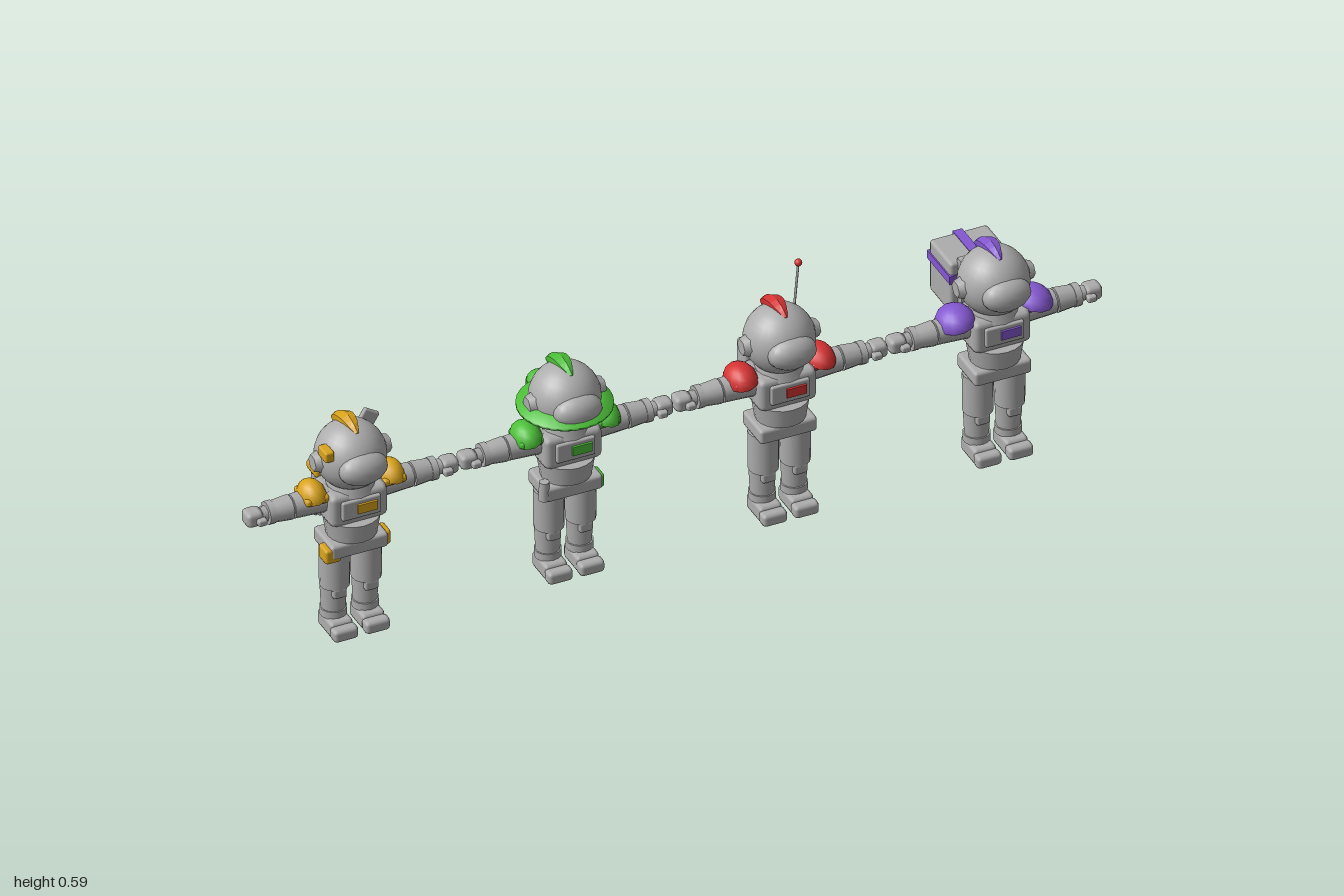
import * as THREE from 'three';
import { RoundedBoxGeometry } from 'three/addons/geometries/RoundedBoxGeometry.js';

const mat = (name, color) => {
  const m = new THREE.MeshStandardMaterial({ color });
  m.name = name;
  return m;
};

const Z = 0.037; // body axis
const HEAD_Y = 0.436;

function add(group, name, geometry, material, x = 0, y = 0, z = 0) {
  const m = new THREE.Mesh(geometry, material);
  m.name = name;
  m.position.set(x, y, z);
  group.add(m);
  return m;
}
const box = (w, h, d) => new THREE.BoxGeometry(w, h, d);
const soft = (w, h, d, r = 0.007) => new RoundedBoxGeometry(w, h, d, 1, r);
const cyl = (rt, rb, h, n = 16) => new THREE.CylinderGeometry(rt, rb, h, n);
const ball = (r, w = 20, h = 14) => new THREE.SphereGeometry(r, w, h);

// Rod between two points
function rod(group, name, a, b, r, material) {
  const p = new THREE.Vector3(...a), q = new THREE.Vector3(...b);
  const d = q.clone().sub(p);
  const m = add(group, name, cyl(r, r, d.length(), 8), material);
  m.position.copy(p).addScaledVector(d, 0.5);
  m.quaternion.setFromUnitVectors(new THREE.Vector3(0, 1, 0), d.normalize());
}

// Ridged, tapering fin that follows the top of the helmet
function crestGeometry() {
  const pos = [], rows = [], n = 8;
  for (let i = 0; i <= n; i++) {
    const t = i / n, a = 0.45 - t * 1.54;
    const w = 0.002 + 0.016 * Math.sin(Math.PI * (0.04 + t * 0.88));
    const at = (x, r) => [x, Math.cos(a) * r, Math.sin(a) * r];
    const rise = 0.082 + 0.008 * Math.min(1, t * 2.5) + 0.007 * t * t;
    rows.push([at(-w, 0.072), at(-w, rise - 0.005), at(0, rise), at(w, rise - 0.005), at(w, 0.072)]);
  }
  for (let i = 0; i < n; i++) {
    for (let j = 0; j < 4; j++) {
      const a = rows[i][j], b = rows[i][j + 1], c = rows[i + 1][j + 1], d = rows[i + 1][j];
      pos.push(...a, ...b, ...c, ...a, ...c, ...d);
    }
  }
  for (const [r, s] of [[rows[0], 1], [rows[n], -1]]) {
    for (let j = 1; j < 4; j++) {
      pos.push(...r[0], ...(s > 0 ? r[j + 1] : r[j]), ...(s > 0 ? r[j] : r[j + 1]));
    }
  }
  const g = new THREE.BufferGeometry();
  g.setAttribute('position', new THREE.Float32BufferAttribute(pos, 3));
  g.computeVertexNormals();
  return g;
}

function astronaut(grey, accent, padScale) {
  const g = new THREE.Group();

  // Helmet
  add(g, 'helmet', ball(0.078, 24, 16), grey, 0, HEAD_Y, Z);
  add(g, 'visor', ball(1, 16, 10), grey, 0, HEAD_Y, 0.1).scale.set(0.056, 0.038, 0.034);
  add(g, 'crest', crestGeometry(), accent, 0, HEAD_Y, Z);
  add(g, 'collar', cyl(0.05, 0.056, 0.025), grey, 0, 0.367, Z);

  // Torso
  add(g, 'chest', soft(0.135, 0.08, 0.1, 0.014), grey, 0, 0.327, Z);
  add(g, 'belly', cyl(0.0625, 0.055, 0.047, 20), grey, 0, 0.267, 0.042);
  add(g, 'hips', soft(0.134, 0.036, 0.094, 0.008), grey, 0, 0.225, Z + 0.003);
  add(g, 'chestPanel', soft(0.09, 0.046, 0.014, 0.004), grey, 0, 0.33, 0.088);
  add(g, 'chestLight', box(0.046, 0.022, 0.008), accent, 0.012, 0.332, 0.096);

  for (const s of [-1, 1]) {
    add(g, 'earCap', cyl(0.019, 0.025, 0.018, 6), grey, s * 0.08, HEAD_Y, Z).rotation.z = -s * Math.PI / 2;

    // Arms reaching sideways
    const pad = add(g, 'shoulderPad', new THREE.SphereGeometry(1, 12, 6, 0, Math.PI * 2, 0, Math.PI / 2),
      accent, s * 0.09, 0.354, Z);
    pad.scale.set(0.033 * padScale, 0.038, 0.043 * Math.min(padScale, 1.13));
    pad.rotation.z = -s * 0.18;
    add(g, 'padBase', soft(0.055, 0.018, 0.07), accent, s * 0.09, 0.357, Z);
    const arm = (name, x0, x1, r0, r1, n = 12) =>
      add(g, name, cyl(r1, r0, x1 - x0, n), grey, s * (x0 + x1) / 2, 0.34, Z).rotation.z = -s * Math.PI / 2;
    arm('upperArm', 0.055, 0.138, 0.031, 0.027);
    arm('elbow', 0.13, 0.146, 0.022, 0.022);
    arm('forearm', 0.142, 0.184, 0.028, 0.024);
    arm('cuff', 0.182, 0.197, 0.026, 0.026);
    arm('wrist', 0.195, 0.21, 0.017, 0.017, 8);
    add(g, 'glove', soft(0.04, 0.036, 0.04, 0.011), grey, s * 0.228, 0.34, Z);
    add(g, 'thumb', soft(0.022, 0.016, 0.018, 0.005), grey, s * 0.217, 0.338, Z + 0.023);

    // Legs and boots
    const x = s * 0.037;
    add(g, 'thigh', cyl(0.034, 0.033, 0.095), grey, x, 0.1625, Z);
    add(g, 'shin', cyl(0.03, 0.026, 0.08, 14), grey, x, 0.077, 0.031);
    add(g, 'kneePad', soft(0.032, 0.024, 0.016, 0.005), grey, x, 0.105, 0.06);
    add(g, 'ankleCuff', cyl(0.03, 0.03, 0.018, 14), grey, x, 0.046, 0.031);
    add(g, 'boot', soft(0.054, 0.038, 0.072, 0.009), grey, x, 0.02, 0.041);
    add(g, 'toeCap', soft(0.058, 0.03, 0.03, 0.009), grey, x, 0.018, 0.085);
  }
  return g;
}

// Gear of the explorer: lamp, pouches, flat pack and slung tool
function addExplorerGear(g, grey, accent) {
  add(g, 'headLamp', soft(0.022, 0.026, 0.04, 0.005), accent, -0.068, 0.47, 0.062);
  add(g, 'pouch', soft(0.038, 0.036, 0.04), accent, -0.061, 0.217, 0.065);
  add(g, 'pouch', soft(0.028, 0.036, 0.04), accent, 0.067, 0.217, 0.05);
  add(g, 'pack', soft(0.105, 0.105, 0.042), grey, 0, 0.31, -0.03);
  add(g, 'packFlap', soft(0.11, 0.022, 0.052), accent, -0.003, 0.366, -0.036);
  rod(g, 'toolHandle', [-0.05, 0.25, -0.055], [0.07, 0.44, -0.055], 0.006, grey);
  add(g, 'toolHead', soft(0.04, 0.05, 0.012, 0.004), grey, 0.078, 0.445, -0.048).rotation.z = -0.56;
  add(g, 'toolGrip', soft(0.034, 0.014, 0.014, 0.004), grey, -0.05, 0.25, -0.05).rotation.z = -0.56;
  add(g, 'toolBar', box(0.085, 0.009, 0.009), accent, 0.035, 0.385, -0.066);
}

// Gear of the diver: brim, air tank, pouch and scope
function addDiverGear(g, grey, accent) {
  const brim = [[0.073, 0.012], [0.082, 0.013], [0.104, -0.001], [0.104, -0.007], [0.073, 0.002], [0.073, 0.012]]
    .reverse().map(([r, y]) => new THREE.Vector2(r, y));
  const brimMesh = add(g, 'brim', new THREE.LatheGeometry(brim, 28), accent, 0, 0.421, Z);
  brimMesh.material.side = THREE.DoubleSide;
  add(g, 'tankMount', soft(0.08, 0.11, 0.04), grey, 0, 0.32, -0.03);
  add(g, 'tank', cyl(0.027, 0.027, 0.12), grey, 0, 0.34, -0.083);
  add(g, 'tankFoot', cyl(0.031, 0.031, 0.017), accent, 0, 0.279, -0.083);
  add(g, 'tankBand', cyl(0.031, 0.031, 0.014), accent, 0, 0.395, -0.083);
  add(g, 'tankDome', ball(0.03, 16, 10), accent, 0, 0.4, -0.083).scale.y = 0.75;
  add(g, 'pouch', soft(0.026, 0.034, 0.04), accent, 0.066, 0.214, 0.05);
  add(g, 'scope', cyl(0.011, 0.013, 0.045, 10), grey, -0.066, 0.235, 0.075);
}

// Gear of the medic: antenna and pack with a cross
function addMedicGear(g, grey, accent) {
  rod(g, 'antenna', [0.045, 0.42, 0.005], [0.064, 0.58, -0.004], 0.0028, grey);
  add(g, 'antennaTip', ball(0.0085, 12, 8), accent, 0.064, 0.582, -0.004);
  add(g, 'pack', soft(0.11, 0.115, 0.048), grey, 0, 0.335, -0.036);
  add(g, 'crossUpright', box(0.024, 0.076, 0.008), accent, 0, 0.335, -0.063);
  add(g, 'crossBar', box(0.076, 0.024, 0.0079), accent, 0, 0.335, -0.063);
}

// Gear of the carrier: large strapped pack
function addCarrierGear(g, grey, accent) {
  add(g, 'packFrame', box(0.1, 0.19, 0.022), grey, 0, 0.365, -0.026);
  add(g, 'bigPack', soft(0.136, 0.128, 0.106, 0.008), grey, 0, 0.386, -0.085);
  add(g, 'strapAround', box(0.142, 0.02, 0.112), accent, 0, 0.411, -0.085);
  add(g, 'strapOver', box(0.022, 0.132, 0.11), accent, 0, 0.386, -0.086);
}

export function createModel() {
  const root = new THREE.Group();
  root.name = 'astronautRow';
  const grey = mat('suitGrey', 0xadadad);
  const crew = [
    ['explorer', mat('yellow', 0xd9a41c), 0.95, addExplorerGear],
    ['diver', mat('green', 0x4cbf38), 1.05, addDiverGear],
    ['medic', mat('red', 0xd63333), 1.1, addMedicGear],
    ['carrier', mat('purple', 0x8458d0), 1.32, addCarrierGear],
  ];
  crew.forEach(([name, accent, padScale, addGear], i) => {
    const g = astronaut(grey, accent, padScale);
    g.name = name;
    addGear(g, grey, accent);
    g.position.x = -0.75 + i * 0.5;
    root.add(g);
  });
  return root;
}
